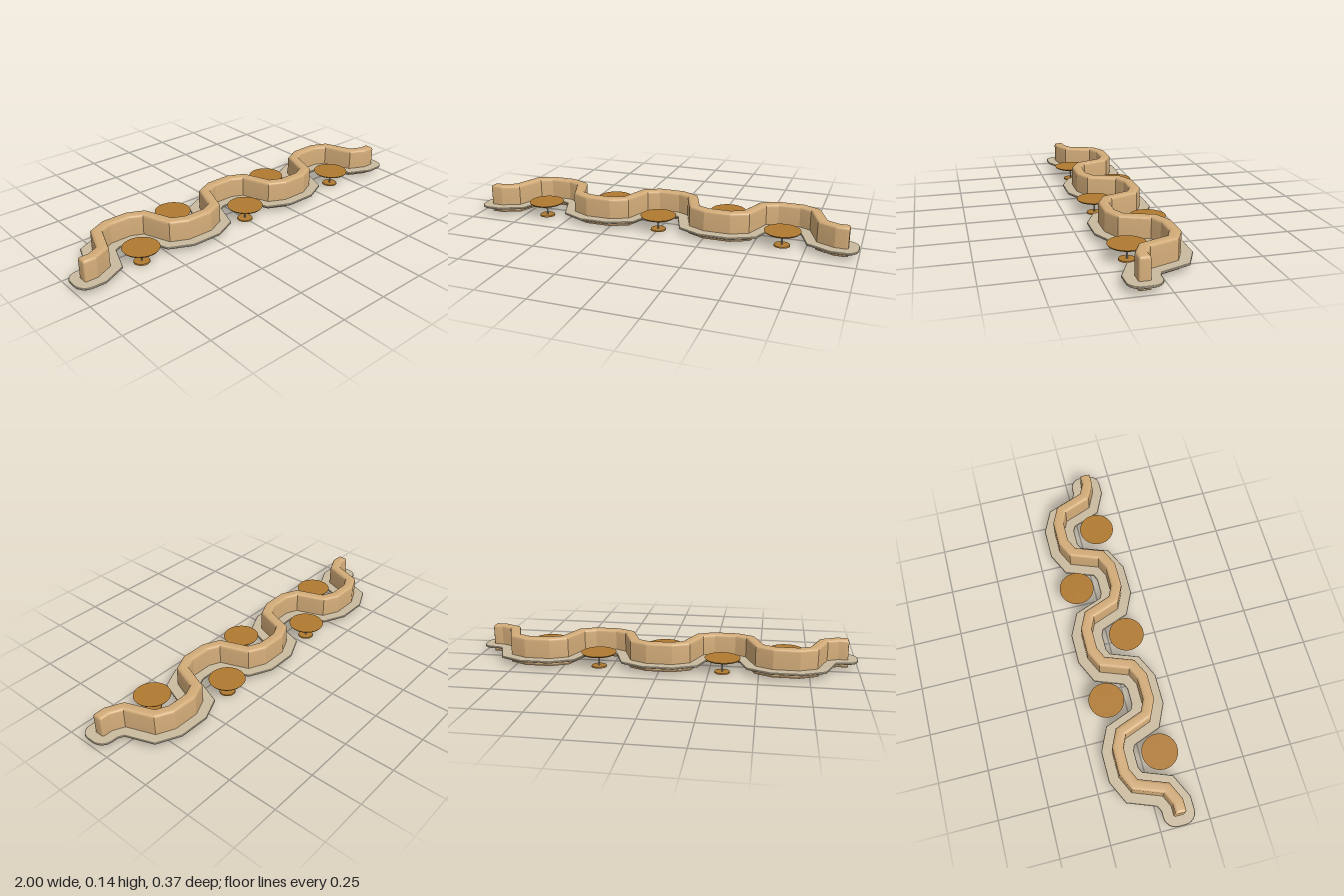
import * as THREE from 'three';
import { toCreasedNormals } from 'three/addons/utils/BufferGeometryUtils.js';

const PITCH = 0.635;
const mat = (color) => new THREE.MeshStandardMaterial({ color });

// Centre line: three arches joined by steep runs, each crest made of straight pieces
function centreLine() {
  const pts = [];
  for (let k = -3; k <= 3; k++) {
    const cx = (k * PITCH) / 2, s = k % 2 === 0 ? -1 : 1;
    for (const [dx, z] of [[-0.132, 0.071], [-0.06, 0.105], [0.06, 0.105], [0.132, 0.071]]) {
      if (Math.abs(cx + dx) < 0.95) pts.push(new THREE.Vector2(cx + dx, s * z));
    }
  }
  return [new THREE.Vector2(-0.95, 0.105), ...pts, new THREE.Vector2(0.95, 0.105)];
}

// Closed outline around the centre line: mitred bends, ends rounded with radius r
function outline(path, hw, extend, r) {
  const left = [], right = [];
  const add = (p, n, w) => {
    left.push([p.x + n.x * w, p.y + n.y * w]);
    right.push([p.x - n.x * w, p.y - n.y * w]);
  };
  const steps = 6, up = new THREE.Vector2(0, -1);
  const end = (p, sign, i) => {
    const a = (i / steps) * Math.PI / 2;
    const x = p.x + sign * (extend - r * (1 - Math.cos(a)));
    add(new THREE.Vector2(x, p.y), up, hw - r * (1 - Math.sin(a)));
  };
  const last = path.length - 1;
  for (let i = 0; i <= steps; i++) end(path[0], -1, i);
  for (let i = 1; i < last; i++) {
    const d0 = path[i].clone().sub(path[i - 1]).normalize();
    const d1 = path[i + 1].clone().sub(path[i]).normalize();
    const n0 = new THREE.Vector2(d0.y, -d0.x), n1 = new THREE.Vector2(d1.y, -d1.x);
    const m = n0.clone().add(n1).normalize();
    add(path[i], m, hw / m.dot(n0));
  }
  for (let i = steps; i >= 0; i--) end(path[last], 1, i);
  return [...left, ...right.reverse()];
}

// Stack inset outlines [inset, y] into a closed solid
function ribbon(path, hw, extend, r, layers) {
  const pos = [], idx = [];
  for (const [inset, y] of layers) {
    for (const [x, z] of outline(path, hw - inset, extend - inset, Math.max(r - inset, 0.002))) pos.push(x, y, z);
  }
  const n = pos.length / 3 / layers.length, top = (layers.length - 1) * n;
  for (let l = 0; l < layers.length - 1; l++) {
    for (let i = 0; i < n; i++) {
      const a = l * n + i, b = l * n + (i + 1) % n;
      idx.push(a, a + n, b + n, a, b + n, b);
    }
  }
  for (let i = 0; i < n / 2 - 1; i++) {
    const j = n - 1 - i;
    idx.push(top + i, top + j, top + j - 1, top + i, top + j - 1, top + i + 1);
    idx.push(i, j - 1, j, i, i + 1, j - 1);
  }
  const g = new THREE.BufferGeometry();
  g.setAttribute('position', new THREE.Float32BufferAttribute(pos, 3));
  g.setIndex(idx);
  return toCreasedNormals(g, 0.35);
}

// Round pedestal table
function table(x, z, wood, metal) {
  const g = new THREE.Group();
  g.name = 'table';
  const disc = (name, rTop, rBottom, y0, y1, m) => {
    const mesh = new THREE.Mesh(new THREE.CylinderGeometry(rTop, rBottom, y1 - y0, 40), m);
    mesh.position.y = (y0 + y1) / 2;
    mesh.name = name;
    g.add(mesh);
  };
  disc('tableTop', 0.09, 0.085, 0.071, 0.078, wood);
  disc('tablePost', 0.004, 0.004, 0.005, 0.071, metal);
  disc('tableBase', 0.038, 0.04, 0, 0.006, wood);
  g.position.set(x, 0, z);
  return g;
}

export function createModel() {
  const model = new THREE.Group();
  model.name = 'windingBench';
  const path = centreLine();

  // Upright wall with a small foot and a rounded top edge
  const layers = [[-0.002, 0], [-0.002, 0.003], [0, 0.005]];
  const bevel = 0.014;
  for (let i = 0; i <= 5; i++) {
    const a = (i / 5) * Math.PI / 2;
    layers.push([bevel * (1 - Math.cos(a)), 0.145 - bevel * (1 - Math.sin(a))]);
  }
  const wall = new THREE.Mesh(ribbon(path, 0.027, 0, 0.009, layers), mat(0xd2ab78));
  wall.name = 'wall';
  model.add(wall);

  // Thin seat shelf following the wall on both sides
  const seat = new THREE.Mesh(
    ribbon(path, 0.079, 0.05, 0.06, [[0.002, 0.03], [0, 0.032], [0, 0.038], [0.002, 0.04]]), mat(0xcabb9f));
  seat.name = 'seatShelf';
  model.add(seat);

  // A table in each bay
  const wood = mat(0xb07a30), metal = mat(0xaaaaaa);
  for (let k = -2; k <= 2; k++) {
    model.add(table((k * PITCH) / 2, k % 2 === 0 ? 0.093 : -0.096, wood, metal));
  }
  return model;
}
